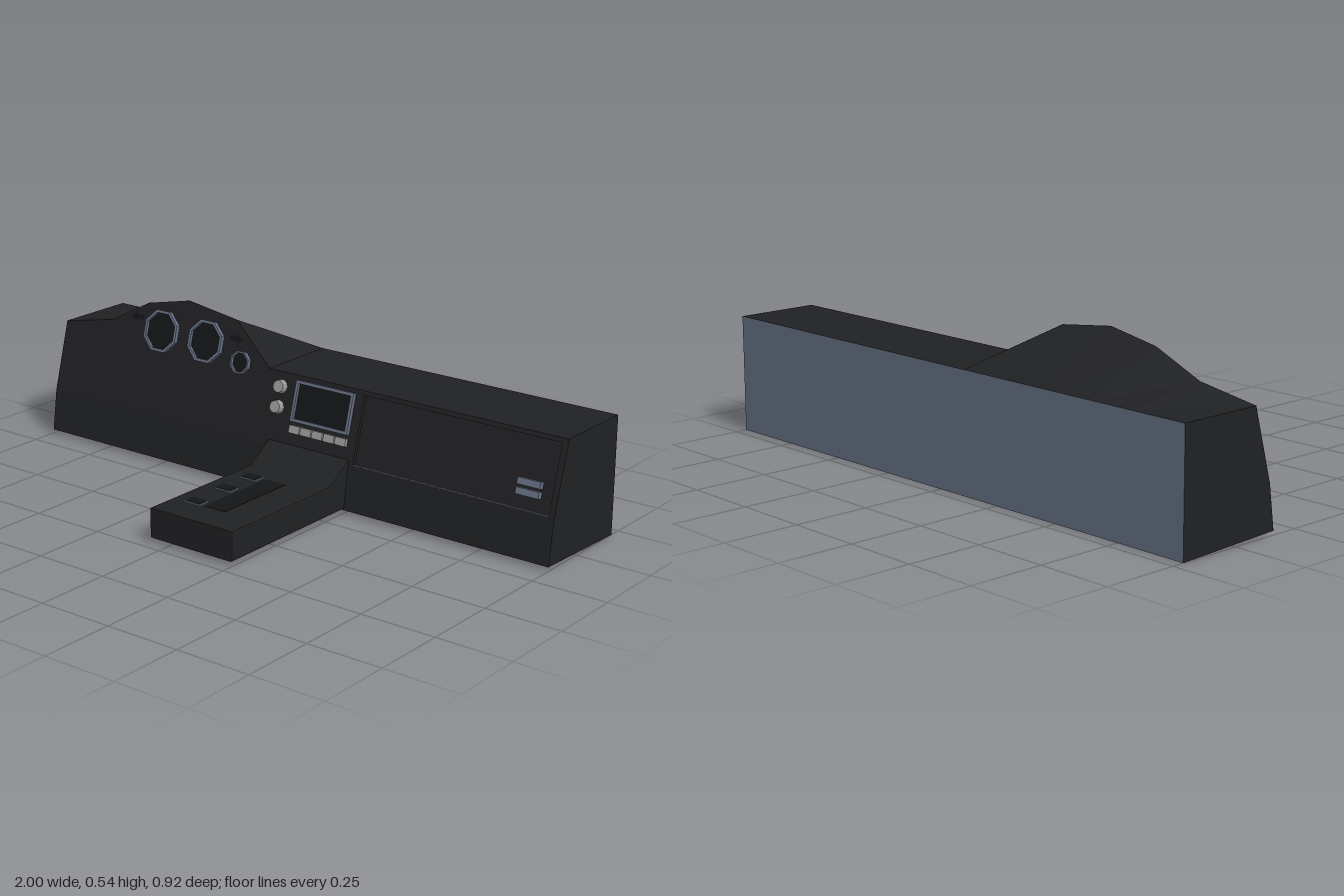
import * as THREE from 'three';

const mat = (color) => new THREE.MeshStandardMaterial({ color, flatShading: true, side: THREE.DoubleSide });

// Dashboard cross-section
const KNEE_Y = 0.155, KNEE_Z = -0.11, SLOPE = 0.279, BACK_Z = -0.46;
const TILT = Math.atan(SLOPE), STRETCH = 1 / Math.cos(TILT);
const faceZ = (y) => KNEE_Z - SLOPE * (y - KNEE_Y);
const along = (y) => (y - KNEE_Y) * STRETCH;

// Upper outline with the instrument hood
const OUTLINE = [[-1, 0.388], [-0.8, 0.425], [-0.65, 0.505], [-0.48, 0.54], [-0.27, 0.513], [-0.11, 0.388], [1, 0.388]];

const mesh = (parent, name, geometry, material, x = 0, y = 0, z = 0) => {
  const m = new THREE.Mesh(geometry, material);
  m.name = name;
  m.position.set(x, y, z);
  parent.add(m);
  return m;
};

// Flat surface from quads given as four corners
function quads(list) {
  const g = new THREE.BufferGeometry();
  const p = list.flatMap(([a, b, c, d]) => [a, b, c, a, c, d].flat());
  g.setAttribute('position', new THREE.Float32BufferAttribute(p, 3));
  g.computeVertexNormals();
  return g;
}

const polygon = (points) => new THREE.Shape(points.map(([x, y]) => new THREE.Vector2(x, y)));
const rect = (x0, x1, y0, y1) => [[x0, y0], [x1, y0], [x1, y1], [x0, y1]];
const octagon = (r) => Array.from({ length: 8 }, (_, i) => {
  const a = (i + 0.5) * Math.PI / 4;
  return [r * Math.cos(a), r * Math.sin(a)];
});

// Flat frame with an opening
function frame(outer, inner, depth) {
  const s = polygon(outer);
  s.holes.push(polygon(inner));
  return new THREE.ExtrudeGeometry(s, { depth, bevelEnabled: false });
}

export function createModel() {
  const root = new THREE.Group();
  root.name = 'dashboard';
  const black = mat(0x202123), dark = mat(0x141516), trim = mat(0x667083), silver = mat(0x9a9a9a);

  // Shell: top, lower front and two ends
  const top = OUTLINE.slice(1).map(([x1, y1], i) => {
    const [x0, y0] = OUTLINE[i];
    return [[x0, y0, faceZ(y0)], [x1, y1, faceZ(y1)], [x1, 0.388, BACK_Z], [x0, 0.388, BACK_Z]];
  });
  mesh(root, 'topCover', quads(top), black);
  const FB = [0.013, -0.09];
  mesh(root, 'lowerFront', quads([[[-1, ...FB], [1, ...FB], [1, KNEE_Y, KNEE_Z], [-1, KNEE_Y, KNEE_Z]]]), black);
  for (const s of [-1, 1]) {
    const ring = [FB, [0, BACK_Z], [0.388, BACK_Z], [0.388, faceZ(0.388)], [KNEE_Y, KNEE_Z]].map((p) => [s, ...p]);
    if (s < 0) ring.reverse();
    mesh(root, s > 0 ? 'leftEnd' : 'rightEnd',
      quads([[ring[0], ring[1], ring[2], ring[3]], [ring[0], ring[3], ring[4], ring[4]]]), black);
  }

  // Unpainted back and underside
  mesh(root, 'backPanel', quads([[[1, 0, BACK_Z], [-1, 0, BACK_Z], [-1, 0.388, BACK_Z], [1, 0.388, BACK_Z]]]), trim);
  mesh(root, 'underside', quads([[[-1, 0, BACK_Z], [1, 0, BACK_Z], [1, ...FB], [-1, ...FB]]]), trim);

  // Tilted front panel carrying the instruments
  const panel = new THREE.Group();
  panel.name = 'instrumentPanel';
  panel.position.set(0, KNEE_Y, KNEE_Z);
  panel.rotation.x = -TILT;
  root.add(panel);
  const gx0 = 0.27, gx1 = 0.98, gy0 = along(0.16), gy1 = along(0.374);
  const face = polygon([[-1, 0], [1, 0], ...OUTLINE.slice().reverse().map(([x, y]) => [x, along(y)])]);
  face.holes.push(polygon(rect(gx0, gx1, gy0, gy1)));
  mesh(panel, 'panelFace', new THREE.ShapeGeometry(face), black);

  // Recessed glove box with its latch
  const e = 0.004;
  mesh(panel, 'gloveBoxRim', frame(rect(gx0 - e, gx1 + e, gy0 - e, gy1 + e), rect(gx0, gx1, gy0, gy1), 0.0115), black, 0, 0, -0.012);
  mesh(panel, 'gloveBoxDoor', new THREE.PlaneGeometry(gx1 - gx0, gy1 - gy0), black, (gx0 + gx1) / 2, (gy0 + gy1) / 2, -0.012);
  mesh(panel, 'gloveBoxLedge', new THREE.BoxGeometry(gx1 - gx0, 0.002, 0.011), trim, (gx0 + gx1) / 2, gy0 + 0.001, -0.0065);
  for (const y of [0.241, 0.212])
    mesh(panel, 'gloveBoxLatch', new THREE.BoxGeometry(0.08, 0.021, 0.02), trim, 0.898, along(y), -0.004);

  // Octagonal gauges
  for (const [x, y, r] of [[-0.572, 0.425, 0.074], [-0.38, 0.425, 0.074], [-0.225, 0.385, 0.039]]) {
    const k = r > 0.05 ? 0.01 : 0.006;
    mesh(panel, 'gaugeBezel', frame(octagon(r), octagon(r - k), 0.014), trim, x, along(y), 0);
    mesh(panel, 'gaugeDial', new THREE.ShapeGeometry(polygon(octagon(r - k))), dark, x, along(y), 0.004);
  }

  // Turn indicator arrows
  for (const s of [-1, 1]) {
    const arrow = polygon([[0.028, 0], [0.005, 0.017], [0.005, 0.008], [-0.025, 0.008], [-0.025, -0.008], [0.005, -0.008], [0.005, -0.017]]
      .map(([x, y]) => [s * x, y]));
    mesh(panel, 'indicatorArrow', new THREE.ShapeGeometry(arrow), dark, s < 0 ? -0.685 : -0.26, along(0.455), 0.002);
  }

  // Control knobs
  for (const y of [0.342, 0.278]) {
    const knob = mesh(panel, 'knob', new THREE.CylinderGeometry(0.02, 0.023, 0.02, 12), silver, -0.05, along(y), 0.01);
    knob.rotation.x = Math.PI / 2;
  }

  // Display with a row of keys
  const sy0 = along(0.246), sy1 = along(0.374);
  mesh(panel, 'screenFrame', frame(rect(0.013, 0.238, sy0, sy1), rect(0.023, 0.228, sy0 + 0.01, sy1 - 0.01), 0.014), trim);
  mesh(panel, 'screen', new THREE.PlaneGeometry(0.205, sy1 - sy0 - 0.02), dark, 0.1255, (sy0 + sy1) / 2, 0.004);
  for (let i = 0; i < 5; i++)
    mesh(panel, 'screenKey', new THREE.BoxGeometry(0.041, 0.025, 0.012), silver, 0.0345 + i * 0.0455, along(0.222), 0.006);

  // Centre console, side profile extruded across its width
  const profile = polygon([[-0.15, 0.016], [0.463, 0.016], [0.463, 0.112], [-0.02, 0.112], [-0.11, 0.173], [-0.15, 0.173]]);
  const b = 0.006;
  const body = new THREE.ExtrudeGeometry(profile, {
    depth: 0.321 - 2 * b, bevelSize: b, bevelOffset: -b, bevelThickness: b, bevelSegments: 2,
  }).rotateY(-Math.PI / 2);
  const consoleGroup = new THREE.Group();
  consoleGroup.name = 'centreConsole';
  root.add(consoleGroup);
  mesh(consoleGroup, 'consoleBody', body, black, 0.254 - b);
  mesh(consoleGroup, 'consoleTray', new THREE.BoxGeometry(0.08, 0.002, 0.295), dark, 0.095, 0.112, 0.203);
  for (const z of [0.07, 0.195, 0.34]) {
    mesh(consoleGroup, 'switchFrame', new THREE.BoxGeometry(0.066, 0.006, 0.045), trim, 0.013, 0.113, z);
    mesh(consoleGroup, 'switchPad', new THREE.BoxGeometry(0.056, 0.002, 0.036), dark, 0.013, 0.1162, z);
  }
  return root;
}
